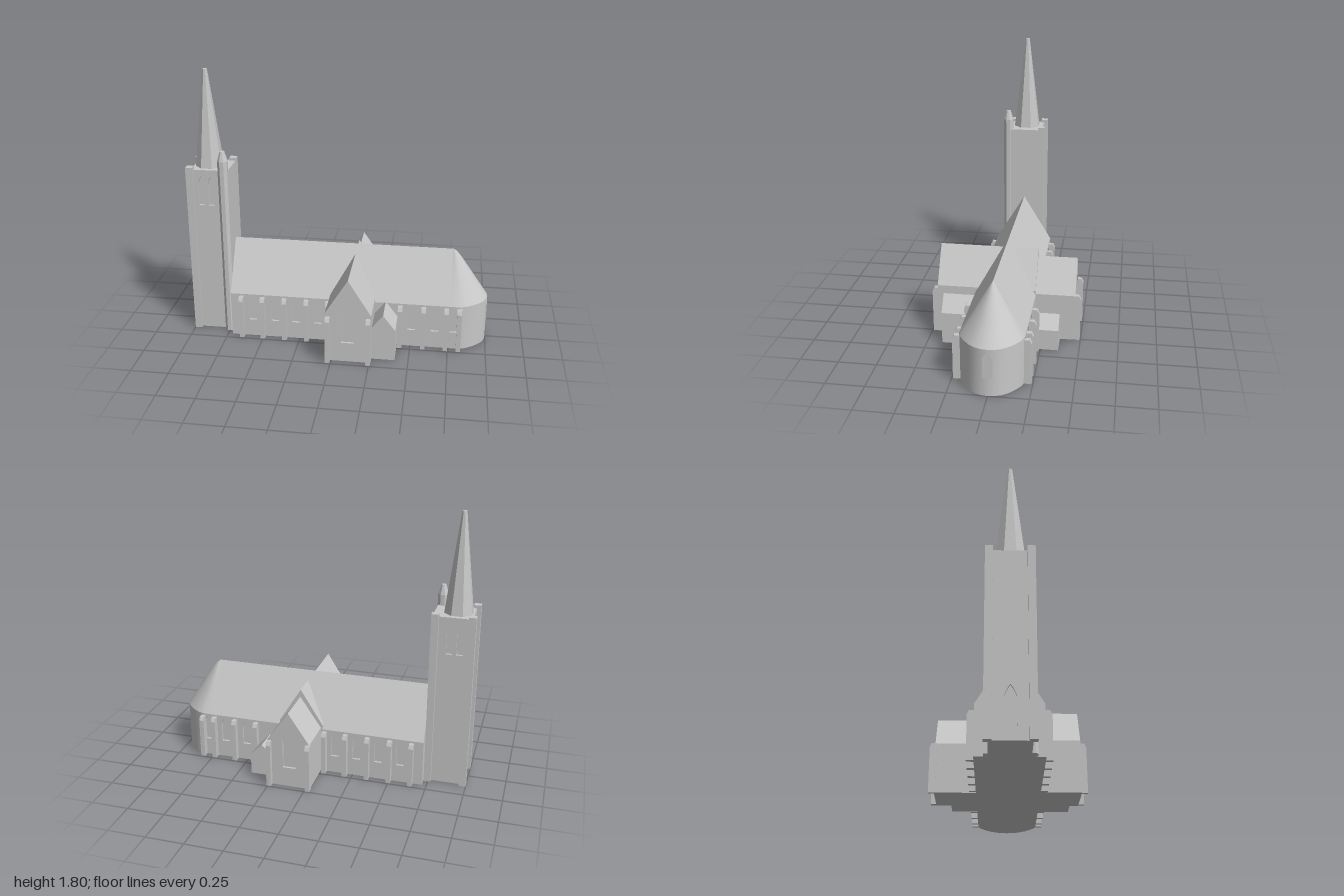
import * as THREE from 'three';

const stone = new THREE.MeshStandardMaterial({ color: 0xc8c8c8 });
stone.name = 'paleStone';

function add(parent, name, geometry, x = 0, y = 0, z = 0) {
  const mesh = new THREE.Mesh(geometry, stone);
  mesh.name = name;
  mesh.position.set(x, y, z);
  parent.add(mesh);
  return mesh;
}

function box(parent, name, x0, x1, y0, y1, z0, z1) {
  return add(parent, name, new THREE.BoxGeometry(x1 - x0, y1 - y0, z1 - z0),
    (x0 + x1) / 2, (y0 + y1) / 2, (z0 + z1) / 2);
}

// Pointed-arch outline
function lancet(path, x, w, y0, shoulder, top) {
  const mid = shoulder + (top - shoulder) * 0.5;
  path.moveTo(x - w, y0);
  path.lineTo(x + w, y0);
  path.lineTo(x + w, shoulder);
  path.quadraticCurveTo(x + w * 0.75, mid, x, top);
  path.quadraticCurveTo(x - w * 0.75, mid, x - w, shoulder);
  path.closePath();
  return path;
}

// Upright slab with window openings; each opening is [x, halfWidth, sill, shoulder, top]
function slab(points, depth, openings = []) {
  const shape = new THREE.Shape(points.map(([x, y]) => new THREE.Vector2(x, y)));
  for (const o of openings) shape.holes.push(lancet(new THREE.Path(), ...o));
  return new THREE.ExtrudeGeometry(shape, { depth, bevelEnabled: false, curveSegments: 4 });
}

const rect = (x0, x1, y0, y1) => [[x0, y0], [x1, y0], [x1, y1], [x0, y1]];
const gable = (x0, x1, peakX, eave, ridge) =>
  [[x0, 0], [x1, 0], [x1, eave], [peakX, ridge], [x0, eave]];

// Smooth surface through rings of equal length, listed bottom to top
function loft(rings) {
  const n = rings[0].length, index = [];
  for (let r = 0; r < rings.length - 1; r++) {
    for (let i = 0; i < n - 1; i++) {
      const a = r * n + i, b = a + 1, c = a + n, d = c + 1;
      index.push(a, b, d, a, d, c);
    }
  }
  const geometry = new THREE.BufferGeometry();
  geometry.setAttribute('position', new THREE.Float32BufferAttribute(rings.flat(2), 3));
  geometry.setIndex(index);
  geometry.computeVertexNormals();
  return geometry;
}

// Buttress with a sloped cap, growing outward from the wall at side * wallZ
function buttress(parent, x, wallZ, side, depth, height) {
  const w = 0.03;
  const g = slab([[-0.01, 0], [depth, 0], [depth, height - 0.025],
    [depth - 0.012, height], [-0.01, height]], w);
  g.translate(0, 0, -w / 2);
  add(parent, 'buttress', g, x, 0, side * wallZ).rotation.y = -side * Math.PI / 2;
}

function createNave() {
  const nave = new THREE.Group();
  nave.name = 'nave';
  const eave = 0.31, west = -0.72, east = 0.82, ridgeEnd = 0.76;

  box(nave, 'naveCore', west, east, 0, eave, -0.185, 0.185);
  const windows = [-0.57, -0.42, -0.275, -0.125, 0.505, 0.66, 0.785]
    .map((x) => [x, 0.026, 0.12, 0.255, 0.298]);
  const wall = slab(rect(west, east, 0, eave), 0.015, windows);
  add(nave, 'frontWall', wall, 0, 0, 0.185);
  add(nave, 'backWall', wall, 0, 0, -0.2);

  const roof = slab([[-0.2, eave], [0.2, eave], [0, 0.64]], ridgeEnd - west);
  roof.rotateY(Math.PI / 2);
  add(nave, 'naveRoof', roof, west);

  for (const side of [1, -1]) {
    for (const x of [-0.645, -0.5, -0.35, -0.2, -0.055, 0.43, 0.585, 0.735, 0.82]) {
      buttress(nave, x, 0.2, side, 0.042, 0.297);
    }
  }

  // Rounded east end
  const half = [[0.82, 0.2], [0.865, 0.185], [0.91, 0.155], [0.95, 0.12], [0.98, 0.08], [0.995, 0.04]];
  const plan = [...half, [1, 0], ...half.map(([x, z]) => [x, -z]).reverse()];
  const ringAt = (y) => plan.map(([x, z]) => [x, y, z]);
  add(nave, 'apseWall', loft([ringAt(0), ringAt(eave)]));
  add(nave, 'apseFloor', loft([plan.map(() => [0.8, 0, 0]), ringAt(0)]));

  const eavePlan = [[ridgeEnd, 0.2], ...plan, [ridgeEnd, -0.2]];
  const roofRing = (s, bulge) => eavePlan.map(([x, z]) => [
    ridgeEnd + (x - ridgeEnd) * s,
    0.64 + (eave - 0.64) * s + bulge * (x - ridgeEnd) / 0.24,
    z * s]);
  add(nave, 'apseRoof', loft([roofRing(1, 0), roofRing(0.6, 0.012), roofRing(0.25, 0.022),
    roofRing(0.1, 0.018), roofRing(0, 0)]));

  const apseShape = lancet(new THREE.Shape(), 0, 0.03, 0.12, 0.255, 0.298);
  const apseWindow = new THREE.ExtrudeGeometry(apseShape,
    { depth: 0.007, bevelEnabled: false, curveSegments: 4 });
  add(nave, 'apseWindow', apseWindow, 0.993).rotation.y = Math.PI / 2;
  return nave;
}

function createTransept() {
  const transept = new THREE.Group();
  transept.name = 'transept';
  const front = gable(-0.04, 0.26, 0.11, 0.34, 0.58);
  const back = gable(-0.028, 0.26, 0.114, 0.32, 0.53);
  const window = [0.11, 0.043, 0.135, 0.335, 0.405];

  // Front arm runs through the nave; the back arm steps down
  add(transept, 'frontArm', slab(front, 0.64), 0, 0, -0.2);
  add(transept, 'frontGable', slab(front, 0.015, [window]), 0, 0, 0.44);
  add(transept, 'backArm', slab(back, 0.245), 0, 0, -0.445);
  add(transept, 'backGable', slab(back, 0.015, [window]), 0, 0, -0.46);
  for (const x of [-0.02, 0.243]) {
    buttress(transept, x, 0.455, 1, 0.037, 0.32);
    buttress(transept, x, 0.46, -1, 0.035, 0.32);
  }

  // Small side chapels in the corners
  add(transept, 'frontChapel', slab(gable(0.25, 0.412, 0.332, 0.215, 0.32), 0.25), 0, 0, 0.15);
  add(transept, 'backChapel', slab(gable(0.25, 0.412, 0.332, 0.14, 0.222), 0.215), 0, 0, -0.365);
  return transept;
}

function createTower() {
  const tower = new THREE.Group();
  tower.name = 'tower';
  const top = 1.155;

  box(tower, 'towerCore', -0.96, -0.725, 0, top, -0.105, 0.105);
  const belfry = [-0.905, -0.84].map((x) => [x, 0.02, 0.91, 1.06, 1.11]);
  const wall = slab(rect(-0.975, -0.725, 0, top), 0.015, belfry);
  add(tower, 'towerFrontWall', wall, 0, 0, 0.105);
  add(tower, 'towerBackWall', wall, 0, 0, -0.12);
  const doorWall = slab(rect(-0.105, 0.105, 0, top), 0.015, [[0, 0.035, 0.08, 0.25, 0.32]]);
  add(tower, 'towerWestWall', doorWall, -0.96).rotation.y = -Math.PI / 2;

  // Corner piers, with a stair turret on the fourth corner
  for (const [x, z] of [[-0.977, 0.122], [-0.977, -0.122], [-0.745, -0.122]]) {
    box(tower, 'cornerPier', x - 0.023, x + 0.023, 0, 1.175, z - 0.023, z + 0.023);
  }
  const octagon = (r0, r1, h) => {
    const g = new THREE.CylinderGeometry(r1, r0, h, 8).toNonIndexed();
    g.rotateY(Math.PI / 8);
    g.computeVertexNormals();
    return g;
  };
  add(tower, 'stairTurret', octagon(0.035, 0.035, 1.225), -0.753, 0.6125, 0.123);
  add(tower, 'turretCap', octagon(0.035, 0.016, 0.065), -0.753, 1.2575, 0.123);
  add(tower, 'spire', octagon(0.095, 0.015, 1.8 - top), -0.873, (1.8 + top) / 2, 0);
  return tower;
}

export function createModel() {
  const church = new THREE.Group();
  church.name = 'church';
  church.add(createNave(), createTransept(), createTower());
  return church;
}
